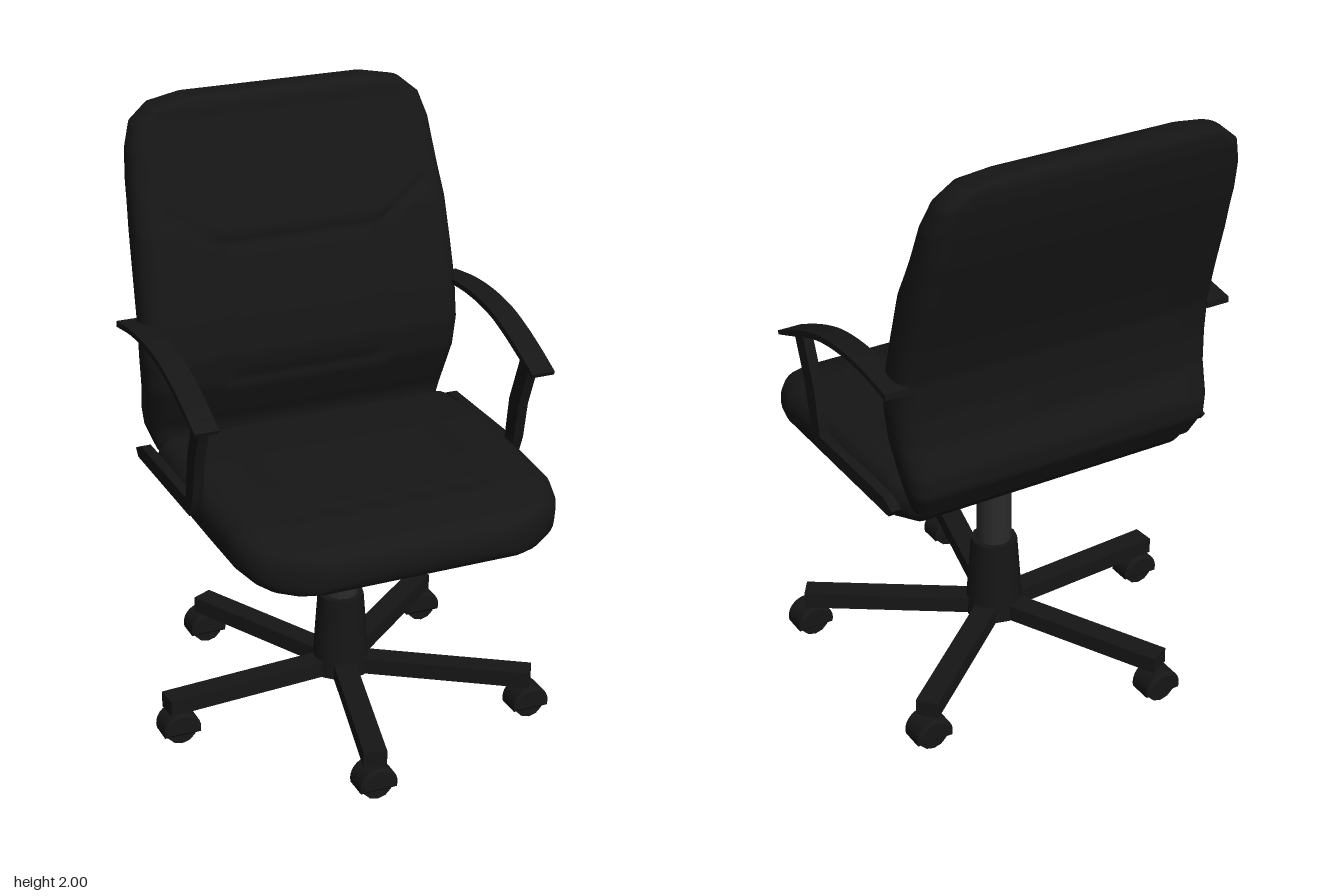
import * as THREE from 'three';
import { toCreasedNormals } from 'three/addons/utils/BufferGeometryUtils.js';

const CX = 0.024, CZ = -0.016; // axis of the column
const black = new THREE.MeshStandardMaterial({ color: 0x161616, side: THREE.DoubleSide });
const darkGrey = new THREE.MeshStandardMaterial({ color: 0x2b2b2b });
const { lerp, smoothstep } = THREE.MathUtils;

function add(parent, name, geometry, material = black, x = 0, y = 0, z = 0) {
  const mesh = new THREE.Mesh(geometry, material);
  mesh.name = name;
  mesh.position.set(x, y, z);
  parent.add(mesh);
  return mesh;
}

// Rounded-rectangle outline, counter-clockwise, with a finely divided upper side
function ring(w, lo, hi) {
  const r = Math.min(0.42 * (hi - lo), 0.065), pts = [];
  const corner = (a, b, start) => {
    for (let i = 0; i <= 5; i++) {
      const t = start + (i / 5) * Math.PI / 2;
      pts.push([a + r * Math.cos(t), b + r * Math.sin(t), 0]);
    }
  };
  corner(w - r, lo + r, -Math.PI / 2);
  corner(w - r, hi - r, 0);
  for (let i = 1; i < 48; i++) pts.push([lerp(w - r, r - w, i / 48), hi, 1]);
  corner(r - w, hi - r, Math.PI / 2);
  corner(r - w, lo + r, Math.PI);
  return pts;
}

// Cushion lofted through sections [t, halfWidth, low, high]; relief shapes the upper side
function cushion(sections, place, relief) {
  const rows = [];
  for (let k = 0; k < sections.length - 1; k++) {
    const n = Math.max(2, Math.ceil((sections[k + 1][0] - sections[k][0]) / 0.02));
    for (let i = 0; i < n; i++) rows.push(sections[k].map((v, c) => lerp(v, sections[k + 1][c], i / n)));
  }
  rows.push(sections.at(-1));
  const pos = [], idx = [];
  for (const [t, w, lo, hi] of rows)
    for (const [a, b, top] of ring(w, lo, hi)) pos.push(...place(a, b + (top ? relief(a, t, w) : 0), t));
  const n = pos.length / 3 / rows.length, last = (rows.length - 1) * n;
  for (let k = 0; k < rows.length - 1; k++)
    for (let j = 0; j < n; j++) {
      const A = k * n + j, B = k * n + (j + 1) % n;
      idx.push(A, B, B + n, A, B + n, A + n);
    }
  // end caps
  for (const [row, base] of [[rows[0], 0], [rows.at(-1), last]]) {
    const c = pos.length / 3;
    pos.push(...place(0, (row[2] + row[3]) / 2, row[0]));
    for (let j = 0; j < n; j++) {
      const A = base + j, B = base + (j + 1) % n;
      if (base) idx.push(A, B, c); else idx.push(B, A, c);
    }
  }
  const g = new THREE.BufferGeometry();
  g.setAttribute('position', new THREE.Float32BufferAttribute(pos, 3));
  g.setIndex(idx);
  return toCreasedNormals(g, 0.9);
}

// Side-view outline (z, y) extruded to a width along x
function sidePlate(shape, width) {
  const g = new THREE.ExtrudeGeometry(shape, { depth: width, bevelEnabled: false, curveSegments: 20 });
  g.translate(0, 0, -width / 2).rotateY(-Math.PI / 2);
  return toCreasedNormals(g, 0.6);
}
const vecs = (pts) => pts.map(([a, b]) => new THREE.Vector2(a, b));

export function createModel() {
  const model = new THREE.Group();
  model.name = 'officeChair';

  // Seat cushion, sections from back to front
  const seat = cushion([
    [-0.41, 0.46, 0.85, 0.88], [-0.36, 0.50, 0.80, 0.91], [-0.28, 0.535, 0.78, 0.94],
    [-0.05, 0.55, 0.78, 0.945], [0.2, 0.55, 0.777, 0.937], [0.4, 0.545, 0.77, 0.925],
    [0.48, 0.522, 0.76, 0.91], [0.53, 0.49, 0.754, 0.897], [0.57, 0.43, 0.75, 0.88],
    [0.595, 0.37, 0.755, 0.862], [0.61, 0.30, 0.78, 0.83],
  ], (a, b, t) => [a, b, t], (a, t, w) => {
    const d = Math.min(0.325 - Math.abs(a), 0.38 - t);
    return -0.008 * (1 - smoothstep(Math.abs(d), 0, 0.03)) * smoothstep(w - Math.abs(a), 0.06, 0.12);
  });
  add(model, 'seat', seat, black, CX);

  // Backrest cushion, sections from bottom to top
  const back = cushion([
    [0.86, 0.50, -0.42, -0.34], [0.94, 0.53, -0.465, -0.335], [1.0, 0.54, -0.465, -0.31],
    [1.1, 0.55, -0.43, -0.272], [1.2, 0.557, -0.42, -0.262], [1.32, 0.557, -0.428, -0.28],
    [1.45, 0.553, -0.465, -0.31], [1.6, 0.545, -0.515, -0.345], [1.75, 0.535, -0.56, -0.415],
    [1.85, 0.525, -0.583, -0.45], [1.93, 0.50, -0.6, -0.48], [1.98, 0.44, -0.605, -0.495],
    [2.0, 0.34, -0.6, -0.515],
  ], (a, b, t) => [-a, t, b], (a, t, w) => {
    const x = Math.abs(a);
    const panel = Math.min(0.275 - x, t - 1.11, 1.55 - t);
    const seam = t - 1.55 - Math.max(0, x - 0.275) * 0.65;
    const d = Math.min(Math.abs(panel), Math.abs(seam));
    return -0.012 * (1 - smoothstep(d, 0, 0.03)) * smoothstep(w - x, 0.06, 0.1);
  });
  add(model, 'backrest', back, black, CX);

  // Armrests: curved pad, slanted upright and rail along the seat
  const padShape = new THREE.Shape();
  padShape.moveTo(0.285, 1.205);
  padShape.splineThru(vecs([[0.19, 1.25], [0.085, 1.292], [-0.02, 1.322], [-0.15, 1.337], [-0.285, 1.334], [-0.425, 1.315]]));
  padShape.lineTo(-0.425, 1.295);
  padShape.splineThru(vecs([[-0.285, 1.316], [-0.15, 1.318], [-0.02, 1.302], [0.085, 1.27], [0.19, 1.228], [0.28, 1.193]]));
  const pad = sidePlate(padShape, 0.08);

  const frameShape = new THREE.Shape(vecs([
    [0.245, 1.225], [0.19, 1.248], [0.175, 1.21], [0.115, 1.06], [0.09, 0.905],
    [-0.33, 0.905], [-0.38, 0.88], [-0.36, 0.855], [0.12, 0.855], [0.13, 0.87], [0.155, 0.93], [0.18, 1.06],
  ]));
  const frame = sidePlate(frameShape, 0.034);
  for (const [side, s] of [['left', 1], ['right', -1]]) {
    const arm = new THREE.Group();
    arm.name = side + 'Armrest';
    add(arm, side + 'ArmPad', pad, black, CX + s * 0.57);
    add(arm, side + 'ArmFrame', frame, black, CX + s * 0.558);
    model.add(arm);
  }

  // Gas column and tapered cover
  add(model, 'column', new THREE.CylinderGeometry(0.058, 0.058, 0.42, 12), darkGrey, CX, 0.59, CZ);
  add(model, 'columnCover', new THREE.CylinderGeometry(0.077, 0.098, 0.285, 12), black, CX, 0.2575, CZ);

  // Caster parts: rounded hood and thin twin wheels
  const hoodShape = new THREE.Shape();
  hoodShape.absarc(0, 0, 0.064, -0.26, Math.PI + 0.26, false);
  const hood = toCreasedNormals(new THREE.ExtrudeGeometry(hoodShape,
    { depth: 0.08, bevelEnabled: true, bevelThickness: 0.01, bevelSize: 0.01, bevelOffset: -0.01, bevelSegments: 1, curveSegments: 8 }), 0.5);
  hood.translate(0, 0, -0.04);
  const wheel = new THREE.CylinderGeometry(0.053, 0.053, 0.018, 12).rotateX(Math.PI / 2);

  // Five-star base, each leg carrying a caster
  const casters = [[-0.255, -0.58], [-0.575, 0.025], [-0.125, 0.58], [0.545, 0.333], [0.505, -0.417]];
  for (const [x, z] of casters) {
    const angle = Math.atan2(z - CZ, x - CX);
    const leg = new THREE.BoxGeometry(0.64, 0.055, 0.075).translate(0.32, 0, 0);
    add(model, 'baseLeg', leg, black, CX, 0.1425, CZ).rotation.y = -angle;
    const caster = new THREE.Group();
    caster.name = 'caster';
    caster.position.set(x, 0.053, z);
    add(caster, 'casterHood', hood);
    for (const s of [-1, 1]) add(caster, 'casterWheel', wheel, black, 0, 0, s * 0.022);
    model.add(caster);
  }
  return model;
}
